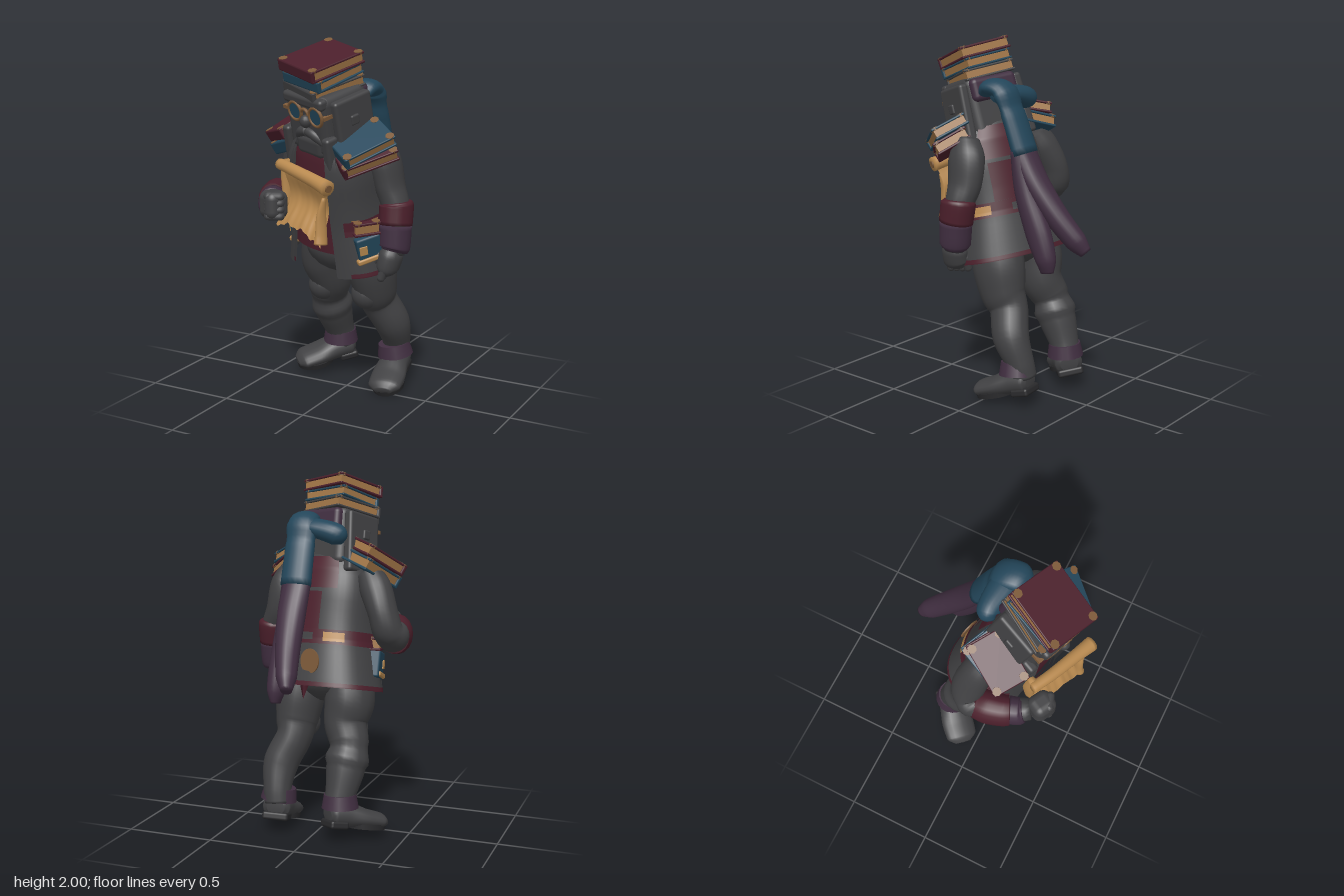
import * as THREE from 'three';
import { mergeVertices } from 'three/addons/utils/BufferGeometryUtils.js';
import { RoundedBoxGeometry } from 'three/addons/geometries/RoundedBoxGeometry.js';

const colour = (name, hex) => new THREE.MeshStandardMaterial({ name, color: hex, side: THREE.DoubleSide });
const grey = colour('charcoal', 0x414143), maroon = colour('maroon', 0x4b1f2b), blue = colour('teal blue', 0x23465a);
const gold = colour('parchment', 0xb98a50), brown = colour('leather brown', 0x7d5a39), purple = colour('plum', 0x402e40);
const paper = colour('aged paper', 0x9f7446), black = colour('sole black', 0x29292b);

function add(parent, name, geo, mat, pos = [0, 0, 0], rot = [0, 0, 0], scale = [1, 1, 1]) {
  const m = new THREE.Mesh(geo, mat);
  m.name = name;
  m.position.set(...pos);
  m.rotation.set(...rot);
  m.scale.set(...scale);
  parent.add(m);
  return m;
}

function group(parent, name, pos = [0, 0, 0], rot = [0, 0, 0]) {
  const g = new THREE.Group();
  g.name = name;
  g.position.set(...pos);
  g.rotation.set(...rot);
  parent.add(g);
  return g;
}

// Smooth surface from a rule f(u, v) on a grid
function grid(nu, nv, f) {
  const p = [], idx = [], w = nv + 1;
  for (let i = 0; i <= nu; i++) for (let j = 0; j <= nv; j++) p.push(...f(i / nu, j / nv));
  for (let i = 0; i < nu; i++) for (let j = 0; j < nv; j++) {
    const a = i * w + j;
    idx.push(a, a + 1, a + w, a + 1, a + w + 1, a + w);
  }
  const g = new THREE.BufferGeometry();
  g.setAttribute('position', new THREE.Float32BufferAttribute(p, 3));
  g.setIndex(idx);
  const merged = mergeVertices(g, 1e-5);
  merged.computeVertexNormals();
  return merged;
}

// Closed limb through points [x, y, z, half width, half thickness]
function loft(pts, ref = [1, 0, 0]) {
  const curve = new THREE.CatmullRomCurve3(pts.map(p => new THREE.Vector3(p[0], p[1], p[2])));
  const radii = new THREE.CatmullRomCurve3(pts.map(p => new THREE.Vector3(p[3], p[4] ?? p[3], 0)));
  const n = (pts.length - 1) * 6;
  return grid(n + 2, 18, (u, v) => {
    const i = Math.round(u * (n + 2)), t = Math.min(Math.max((i - 1) / n, 0), 1);
    const c = curve.getPoint(t), T = curve.getTangent(t), r = radii.getPoint(t);
    const k = i === 0 || i === n + 2 ? 0 : 1, a = (v % 1) * Math.PI * 2;
    const S = new THREE.Vector3(...ref).addScaledVector(T, -T.dot(new THREE.Vector3(...ref))).normalize();
    const B = T.clone().cross(S);
    return c.addScaledVector(S, Math.cos(a) * r.x * k).addScaledVector(B, Math.sin(a) * r.y * k).toArray();
  });
}

// Coat outline [height, half width, half depth]; angle 0 is the front
const outline = [[0.7, 0.335, 0.255], [0.77, 0.33, 0.25], [0.9, 0.3, 0.235], [1.03, 0.27, 0.22], [1.15, 0.26, 0.215],
  [1.3, 0.26, 0.21], [1.42, 0.24, 0.19], [1.52, 0.17, 0.15], [1.6, 0.15, 0.14]];
function coat(parent, name, mat, y0, y1, a0, a1, off = 0) {
  const pw = t => Math.sign(t) * Math.abs(t) ** 0.85;
  add(parent, name, grid(16, 40, (u, v) => {
    const y = y0 + (y1 - y0) * u, a = a0 + (a1 - a0) * v;
    let i = 0;
    while (i < outline.length - 2 && y > outline[i + 1][0]) i++;
    const [p, q] = [outline[i], outline[i + 1]], t = (y - p[0]) / (q[0] - p[0]);
    const rx = p[1] + (q[1] - p[1]) * t + off, rz = p[2] + (q[2] - p[2]) * t + off;
    return [rx * pw(Math.sin(a)), y, rz * pw(Math.cos(a))];
  }), mat);
}

// Book lying flat with its spine at the front and patched corners on top
function book(parent, name, w, h, d, mat, pos, rot) {
  const g = group(parent, name, pos, rot), c = h * 0.2;
  add(g, 'pages', new THREE.BoxGeometry(w - 0.02, h - c, d - 0.02), paper);
  for (const s of [-1, 1]) {
    add(g, 'cover', new RoundedBoxGeometry(w, c, d, 2, 0.005), mat, [0, s * (h - c) / 2, 0]);
    for (const z of [-1, 1])
      add(g, 'corner', new THREE.CylinderGeometry(0.024, 0.024, c + 0.004, 8), brown,
        [s * (w / 2 - 0.023), (h - c) / 2, z * (d / 2 - 0.023)]);
  }
  add(g, 'spine', new RoundedBoxGeometry(w, h, 0.025, 2, 0.01), mat, [0, 0, d / 2 - 0.01]);
}

export function createModel() {
  const root = new THREE.Group();
  root.name = 'bookKeeper';
  const body = group(root, 'body', [0.01, 0.05, -0.17], [0.245, -0.31, 0]);

  // Boots
  for (const [x, z, yaw] of [[0.225, -0.025, 0.47], [-0.24, 0.045, -0.47]]) {
    const b = group(body, 'boot', [x, 0, z], [0, yaw, 0]);
    add(b, 'upper', loft([[0, 0.07, -0.165, 0.05, 0.04], [0, 0.075, -0.14, 0.08, 0.07], [0, 0.075, -0.05, 0.085, 0.07],
      [0, 0.06, 0.06, 0.1, 0.053], [0, 0.05, 0.15, 0.095, 0.045], [0, 0.04, 0.19, 0.05, 0.022]]), grey);
    add(b, 'sole', new THREE.CylinderGeometry(0.095, 0.09, 0.03, 20), black, [0, 0.018, 0.08], [0, 0, 0], [1, 1, 1.2]);
    add(b, 'heel', new RoundedBoxGeometry(0.15, 0.045, 0.11, 2, 0.015), black, [0, 0.022, -0.115]);
    add(b, 'ankleBand', new THREE.CylinderGeometry(0.09, 0.103, 0.075, 18), purple, [0, 0.15, -0.095], [-0.15, 0, 0.1]);
  }

  // Legs
  add(root, 'leftLeg', loft([[0.21, 0.16, -0.22, 0.075], [0.22, 0.25, -0.2, 0.08], [0.22, 0.38, -0.14, 0.1, 0.105],
    [0.165, 0.52, -0.08, 0.1, 0.115], [0.165, 0.6, -0.04, 0.118, 0.135], [0.155, 0.75, 0, 0.135, 0.155], [0.13, 0.92, 0.04, 0.12, 0.14]]), grey);
  add(root, 'rightLeg', loft([[-0.15, 0.17, -0.25, 0.075], [-0.165, 0.26, -0.22, 0.085], [-0.175, 0.4, -0.16, 0.11, 0.11],
    [-0.175, 0.52, -0.11, 0.11, 0.11], [-0.14, 0.62, -0.07, 0.12, 0.125], [-0.15, 0.75, -0.03, 0.14, 0.15], [-0.12, 0.92, 0.02, 0.13, 0.14]]), grey);
  add(root, 'leftKnee', new THREE.SphereGeometry(0.09, 18, 12), grey, [0.14, 0.58, 0.02]);
  add(root, 'rightKnee', new THREE.SphereGeometry(0.09, 18, 12), grey, [-0.165, 0.58, -0.03]);

  // Trunk, vest and open coat
  const gap = 0.5, end = Math.PI * 2 - gap, PI = Math.PI;
  add(body, 'hips', new THREE.SphereGeometry(1, 24, 16), grey, [0, 0.86, 0], [0, 0, 0], [0.24, 0.17, 0.21]);
  coat(body, 'vest', maroon, 0.96, 1.58, 0, PI * 2, -0.02);
  coat(body, 'frontSash', maroon, 0.89, 0.97, -0.7, 0.7, -0.01);
  coat(body, 'coat', grey, 0.77, 1.53, gap, end);
  coat(body, 'coatHem', maroon, 0.765, 0.79, gap, end, 0.006);
  for (const s of [-1, 1]) coat(body, 'lapel', grey, 0.77, 1.56, s * 0.6 - 0.14, s * 0.6 + 0.14, 0.018);
  coat(body, 'belt', maroon, 1.0, 1.08, 0.75, PI * 2 - 0.75, 0.016);
  for (const a of [2.2, PI + 0.62]) coat(body, 'beltPlate', gold, 1.015, 1.065, a - 0.24, a + 0.24, 0.022);
  coat(body, 'backBuckle', grey, 1.02, 1.06, PI - 0.25, PI + 0.17, 0.024);
  coat(body, 'backPanel', maroon, 1.08, 1.29, PI - 0.6, PI + 0.25, 0.008);
  coat(body, 'upperBackPanel', maroon, 1.31, 1.49, PI - 0.75, PI + 0.6, 0.008);
  add(body, 'tailPatch', new THREE.CylinderGeometry(0.055, 0.055, 0.008, 18), brown, [-0.06, 0.9, -0.241], [PI / 2 - 0.1, 0, 0], [1.15, 1, 1.25]);
  add(body, 'tailTag', new THREE.ConeGeometry(0.035, 0.09, 4), maroon, [-0.02, 0.735, -0.22], [PI, 0, 0], [1, 1, 0.3]);

  // Books on the shoulders: [side, position, rotation, upper and lower cover]
  for (const [s, pos, rot, upper, lower] of [
    [1, [0.245, 1.455, 0.01], [0.19, -0.42, -0.24], blue, maroon],
    [-1, [-0.255, 1.475, 0], [0.24, -0.08, 0.38], maroon, blue]]) {
    const rig = group(body, 'shoulderBooks', pos, rot);
    book(rig, 'upperBook', 0.205, 0.065, 0.3, upper, [0, 0.045, 0], [0, s * 0.08, 0]);
    book(rig, 'lowerBook', 0.2, 0.07, 0.31, lower, [s * 0.012, -0.028, 0], [0, -s * 0.06, 0]);
  }

  // Satchel and small book on each hip
  for (const s of [-1, 1]) {
    const hip = group(body, 'hipBooks', [s * 0.268, 0.95, 0.08], [0, s * 1.15, 0]);
    add(hip, 'satchel', new RoundedBoxGeometry(0.14, 0.15, 0.07, 2, 0.012), blue, [0, -0.035, 0.005], [0, 0, s * 0.08]);
    add(hip, 'satchelStrap', new RoundedBoxGeometry(0.14, 0.03, 0.08, 2, 0.01), gold, [-s * 0.01, -0.09, 0.01], [0, 0, s * 0.1]);
    add(hip, 'satchelClasp', new RoundedBoxGeometry(0.045, 0.05, 0.008, 2, 0.003), gold, [-s * 0.04, -0.03, 0.042]);
    book(hip, 'hipBook', 0.15, 0.075, 0.08, maroon, [0, 0.085, 0], [0, PI, s * 0.12]);
  }

  // Head, hood flaps and face
  const head = group(body, 'head', [0, 1.6, -0.005], [0.03, -0.05, -0.04]);
  add(head, 'skull', new RoundedBoxGeometry(0.32, 0.34, 0.32, 4, 0.05), grey, [0, 0, 0.01]);
  add(head, 'brow', new RoundedBoxGeometry(0.31, 0.06, 0.06, 3, 0.02), grey, [0, 0.135, 0.15]);
  add(head, 'backWrap', new RoundedBoxGeometry(0.28, 0.13, 0.1, 3, 0.03), purple, [0, 0.09, -0.13]);
  add(head, 'nose', new THREE.SphereGeometry(0.032, 14, 10), grey, [0.02, 0.03, 0.18], [0, 0, 0], [1, 1.1, 1]);
  add(head, 'chin', new RoundedBoxGeometry(0.21, 0.12, 0.08, 3, 0.035), grey, [0.01, -0.12, 0.14]);
  add(head, 'bridge', new THREE.TorusGeometry(0.028, 0.009, 8, 14, PI), brown, [0.02, 0.07, 0.18]);
  for (const s of [-1, 1]) {
    add(head, 'moustache', loft([[0.01, -0.03, 0.17, 0.025], [0.01 + s * 0.05, -0.045, 0.165, 0.028], [0.01 + s * 0.1, -0.09, 0.15, 0.02],
      [0.01 + s * 0.11, -0.12, 0.14, 0.006]], [0, 0, 1]), grey);
    add(head, 'lensRim', new THREE.TorusGeometry(0.05, 0.009, 8, 24), brown, [0.02 + s * 0.083, 0.07, 0.176]);
    add(head, 'lens', new THREE.CylinderGeometry(0.047, 0.047, 0.009, 20), blue, [0.02 + s * 0.083, 0.07, 0.174], [PI / 2, 0, 0]);
    add(head, 'templeArm', new THREE.BoxGeometry(0.04, 0.02, 0.1), brown, [s * 0.148, 0.07, 0.122]);
    add(head, 'hoodFlap', new RoundedBoxGeometry(0.055, 0.34, 0.25, 3, 0.018), grey, [s * 0.18, -0.03, -0.01], [0, 0, s * 0.06]);
    add(head, 'earStud', new RoundedBoxGeometry(0.03, 0.055, 0.055, 2, 0.01), grey, [s * 0.2, 0.02, 0]);
    add(head, 'collarEnd', new RoundedBoxGeometry(0.055, 0.26, 0.08, 3, 0.018), grey, [s * 0.16, -0.17, 0.15]);
  }

  // Stack of books on the head
  const stack = group(body, 'bookStack', [-0.005, 1.84, 0], [0.06, -0.12, -0.08]);
  book(stack, 'topBook', 0.3, 0.065, 0.345, maroon, [0, 0.062, 0], [0, 0, 0]);
  book(stack, 'middleBook', 0.285, 0.06, 0.32, blue, [0.005, 0, 0], [0, 0.08, 0]);
  book(stack, 'bottomBook', 0.295, 0.062, 0.33, grey, [0, -0.062, 0], [0, -0.06, 0.02]);

  // Hanging left arm
  add(root, 'leftArm', loft([[0.25, 1.45, 0.14, 0.07], [0.29, 1.35, 0.11, 0.085, 0.11], [0.32, 1.22, 0.1, 0.078, 0.1],
    [0.36, 1.1, 0.11, 0.075], [0.36, 0.86, 0.14, 0.06]]), grey);
  add(root, 'leftCuff', loft([[0.36, 1.145, 0.11, 0.08], [0.362, 1.125, 0.11, 0.092, 0.1], [0.365, 1.02, 0.125, 0.09, 0.097]]), maroon);
  add(root, 'leftSleeve', loft([[0.365, 1.02, 0.125, 0.087, 0.093], [0.363, 0.9, 0.135, 0.085, 0.088], [0.36, 0.88, 0.14, 0.07]]), purple);
  add(root, 'leftHand', loft([[0.36, 0.9, 0.14, 0.05], [0.35, 0.85, 0.15, 0.065, 0.075], [0.335, 0.79, 0.155, 0.06, 0.075], [0.32, 0.755, 0.15, 0.03, 0.05]]), grey);
  for (let i = 0; i < 4; i++)
    add(root, 'finger', new THREE.CapsuleGeometry(0.023, 0.06, 4, 10), grey, [0.33 - i * 0.006, 0.768 + i * 0.004, 0.205 - i * 0.036], [0, 0, -0.35]);
  add(root, 'thumb', new THREE.CapsuleGeometry(0.021, 0.06, 4, 10), grey, [0.275, 0.835, 0.18], [0, 0, -0.5]);

  // Bent right arm
  add(root, 'rightArm', loft([[-0.23, 1.45, 0.06, 0.07], [-0.28, 1.36, 0.03, 0.09], [-0.33, 1.24, 0, 0.082, 0.095],
    [-0.36, 1.14, 0.0, 0.085], [-0.375, 1.1, 0.07, 0.085], [-0.35, 1.09, 0.2, 0.075], [-0.28, 1.11, 0.34, 0.06]]), grey);
  add(root, 'rightCuff', loft([[-0.375, 1.1, 0.06, 0.085, 0.095], [-0.37, 1.1, 0.13, 0.09, 0.11], [-0.35, 1.1, 0.21, 0.085, 0.105],
    [-0.335, 1.1, 0.24, 0.08, 0.1]]), maroon);
  add(root, 'rightSleeve', loft([[-0.335, 1.1, 0.235, 0.078, 0.092], [-0.315, 1.1, 0.29, 0.074, 0.085], [-0.305, 1.105, 0.31, 0.06, 0.07]]), purple);
  add(root, 'rightFist', new RoundedBoxGeometry(0.14, 0.155, 0.13, 4, 0.045), grey, [-0.24, 1.12, 0.385], [0, -0.5, 0]);
  for (let i = 0; i < 4; i++)
    add(root, 'gripFinger', new THREE.CapsuleGeometry(0.024, 0.065, 4, 10), grey, [-0.215, 1.172 - i * 0.036, 0.42], [0, 0.35, PI / 2]);

  // Unrolled scroll with a ragged lower edge and a curled side
  const scroll = group(root, 'scroll', [-0.04, 1.29, 0.41], [0, -0.38, -0.17]);
  add(scroll, 'sheet', grid(16, 28, (u, v) => {
    const x = (v - 0.5) * 0.39 * (1 - 0.13 * Math.sin(PI * u)), rag = 0.008 * Math.sin(v * 19) + 0.006 * Math.sin(v * 43);
    const drop = 0.28 + 0.04 * (2 * v - 1) ** 2 + rag;
    return [x + (1 - u) * 0.03, -drop * (1 - u), 0.02 * Math.cos(u * 6) + 0.03 * (1 - u) ** 4 - 0.03];
  }), gold);
  add(scroll, 'topRoll', loft([[-0.22, 0.005, -0.01, 0.03], [-0.1, 0.012, 0, 0.032], [0.1, 0.01, 0, 0.036], [0.21, 0.005, 0, 0.042]], [0, 0, 1]), gold);
  for (const s of [-1, 1])
    add(scroll, 'rollCore', new THREE.CylinderGeometry(0.02, 0.02, 0.008, 14), brown, [s * 0.215, 0.005, -0.001], [0, 0, PI / 2]);
  add(scroll, 'backCurl', loft([[-0.2, 0.03, -0.03, 0.02, 0.03], [-0.19, -0.08, -0.05, 0.025, 0.04], [-0.16, -0.22, -0.05, 0.02, 0.03]]), gold);
  add(scroll, 'sideCurl', loft([[0.175, -0.06, -0.01, 0.01], [0.17, -0.16, -0.01, 0.018, 0.03], [0.185, -0.26, -0.01, 0.024, 0.036], [0.195, -0.31, -0.005, 0.03, 0.04]]), gold);

  // Scarf with two trailing tails
  add(root, 'scarfWrap', loft([[-0.1, 1.63, 0.0, 0.03], [-0.07, 1.66, -0.02, 0.06, 0.06], [0.04, 1.69, -0.01, 0.075, 0.055], [0.14, 1.7, 0.01, 0.08, 0.05]], [0, 0, 1]), blue);
  add(root, 'scarfTop', loft([[0.14, 1.7, 0.1, 0.055, 0.03], [0.14, 1.735, 0.06, 0.08, 0.045], [0.13, 1.72, -0.02, 0.085, 0.05],
    [0.125, 1.6, -0.08, 0.085, 0.05], [0.12, 1.39, -0.16, 0.088, 0.056]]), blue);
  add(root, 'scarfLongTail', loft([[0.115, 1.42, -0.145, 0.08, 0.045], [0.115, 1.25, -0.23, 0.08, 0.06], [0.09, 1.07, -0.35, 0.068, 0.065],
    [0.055, 0.94, -0.455, 0.055, 0.06], [0.035, 0.88, -0.505, 0.03, 0.035]]), purple);
  add(root, 'scarfShortTail', loft([[0.14, 1.42, -0.14, 0.065, 0.045], [0.15, 1.2, -0.19, 0.065, 0.065], [0.16, 0.98, -0.28, 0.06, 0.075],
    [0.165, 0.84, -0.335, 0.05, 0.06], [0.165, 0.77, -0.345, 0.025, 0.04]]), purple);
  return root;
}
